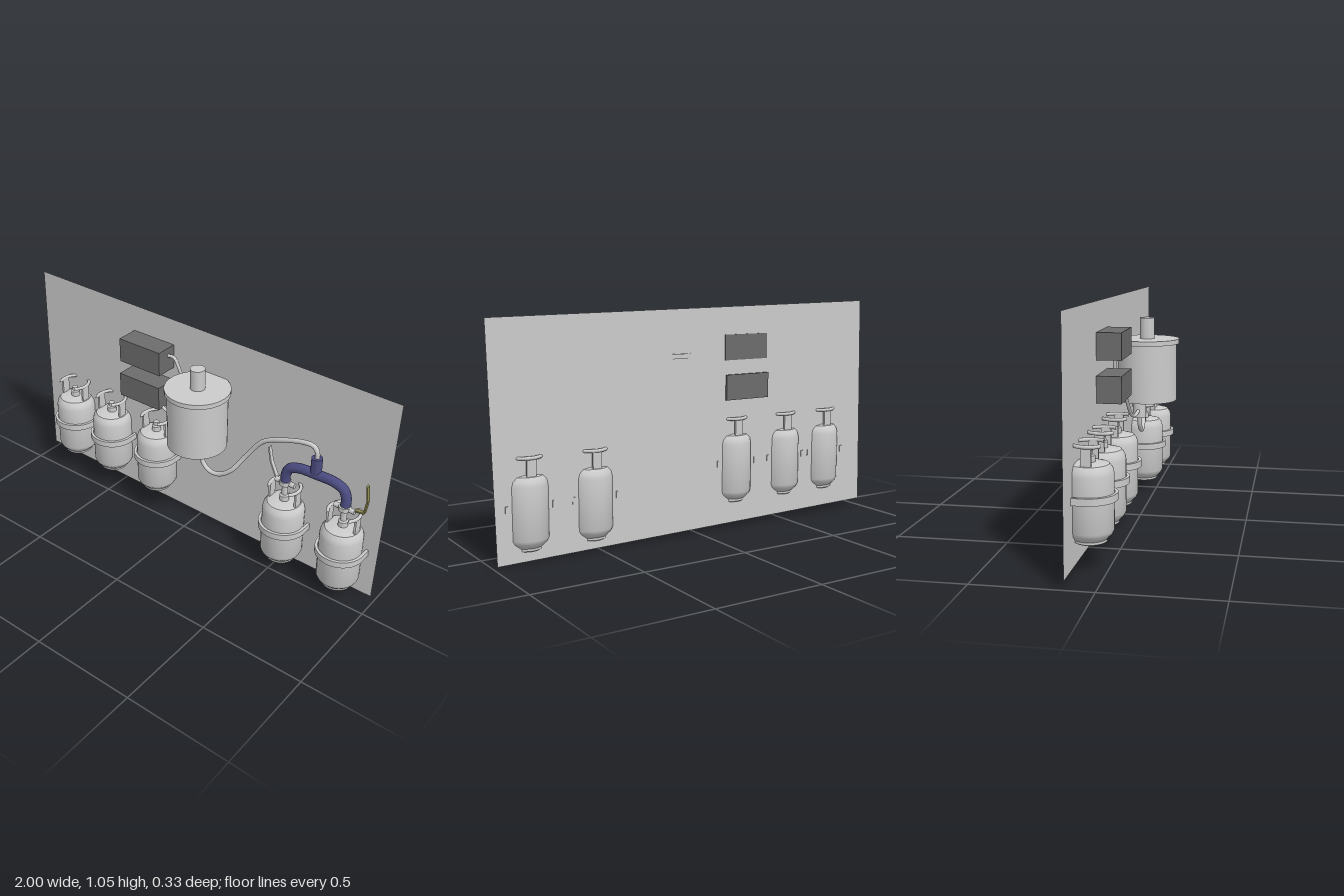
import * as THREE from 'three';
import { toCreasedNormals } from 'three/addons/utils/BufferGeometryUtils.js';

const mat = (color = 0xcccccc, side = THREE.FrontSide) => new THREE.MeshStandardMaterial({ color, side });
const grey = mat();
const sheet = mat(0xcccccc, THREE.DoubleSide);
const dark = mat(0x6c6c6c);
const blue = mat(0x4b4b80);
const olive = mat(0x8c8a50);
const PANEL_Z = -0.122;
const TANK_Z = -0.07;

function add(parent, name, geometry, material, x = 0, y = 0, z = 0) {
  const mesh = new THREE.Mesh(geometry, material);
  mesh.name = name;
  mesh.position.set(x, y, z);
  parent.add(mesh);
  return mesh;
}

const v2 = (pts) => pts.map(([x, y]) => new THREE.Vector2(x, y));
const lathe = (pts) => toCreasedNormals(new THREE.LatheGeometry(v2(pts), 40), 0.5);
const box = (w, h, d) => new THREE.BoxGeometry(w, h, d);

// Round pipe through a few points, with closed ends
function pipe(parent, name, pts, r, material = grey) {
  const curve = new THREE.CatmullRomCurve3(pts.map((p) => new THREE.Vector3(...p)), false, 'centripetal');
  const group = new THREE.Group();
  group.name = name;
  parent.add(group);
  add(group, name + 'Tube', new THREE.TubeGeometry(curve, 64, r, 14), material);
  for (const t of [0, 1]) {
    const cap = add(group, name + 'Cap', new THREE.CircleGeometry(r, 14), material);
    cap.position.copy(curve.getPoint(t));
    cap.quaternion.setFromUnitVectors(new THREE.Vector3(0, 0, 1), curve.getTangent(t).multiplyScalar(t ? 1 : -1));
  }
}

// Gas cylinder with foot, collar, valve stub and wall strap
function gasCylinder(x, y) {
  const g = new THREE.Group();
  g.name = 'gasCylinder';
  g.position.set(x, y, TANK_Z);

  add(g, 'cylinderBody', lathe([
    [0, 0.015], [0.07, 0.015], [0.076, 0.022], [0.09, 0.036], [0.097, 0.052],
    [0.097, 0.278], [0.092, 0.3], [0.078, 0.318], [0.055, 0.324], [0, 0.326],
  ]), grey);
  add(g, 'footRing', lathe([[0, 0], [0.062, 0], [0.068, 0.004], [0.068, 0.02], [0, 0.02]]), grey);
  add(g, 'valveStub', lathe([[0.022, 0.32], [0.022, 0.35], [0.014, 0.355], [0.014, 0.372], [0, 0.372]]), grey);

  // collar posts at both sides and at the back
  for (const a of [0, Math.PI / 2, Math.PI]) {
    const post = add(g, 'collarPost', box(0.01, 0.092, 0.042), grey, 0.068 * Math.cos(a), 0.352, -0.068 * Math.sin(a));
    post.rotation.y = a;
  }
  // collar ring, open at the front
  const open = 0.75;
  const ring = add(g, 'collarRing', new THREE.TorusGeometry(0.071, 0.008, 10, 40, Math.PI * 2 - open * 2), grey, 0, 0.397, 0);
  ring.rotation.set(Math.PI / 2, 0, Math.PI / 2 + open);

  // U-shaped strap running back to the panel
  const back = PANEL_Z - TANK_Z - 0.004;
  const strap = new THREE.Shape();
  strap.moveTo(0.112, -back);
  strap.lineTo(0.112, 0);
  strap.absarc(0, 0, 0.112, 0, -Math.PI, true);
  strap.lineTo(-0.112, -back);
  strap.lineTo(-0.099, -back);
  strap.lineTo(-0.099, 0);
  strap.absarc(0, 0, 0.099, -Math.PI, 0, false);
  strap.lineTo(0.099, -back);
  strap.closePath();
  const strapGeo = new THREE.ExtrudeGeometry(strap, { depth: 0.03, bevelEnabled: false, curveSegments: 32 });
  strapGeo.rotateX(-Math.PI / 2);
  // the shape's y becomes -z, so the arc bulges to the front
  add(g, 'wallStrap', toCreasedNormals(strapGeo, 0.5), grey, 0, 0.174, 0);
  return g;
}

export function createModel() {
  const model = new THREE.Group();
  model.name = 'gasSupplyPanel';

  // Slightly skewed back panel
  const panel = new THREE.Shape(v2([[-1, 0.035], [0.975, 0], [1, 1.018], [-0.98, 1.05]]));
  add(model, 'backPanel', new THREE.ShapeGeometry(panel), sheet, 0, 0, PANEL_Z);

  // Gas cylinders
  for (const [x, y] of [[-0.765, 0.12], [-0.515, 0.12], [-0.225, 0.12], [0.52, 0.045], [0.823, 0.045]]) {
    model.add(gasCylinder(x, y));
  }

  // Control boxes
  add(model, 'upperControlBox', box(0.238, 0.118, 0.112), dark, -0.274, 0.85, -0.07);
  add(model, 'lowerControlBox', box(0.238, 0.118, 0.12), dark, -0.279, 0.665, -0.073);

  // Reaction vessel
  const vessel = new THREE.Group();
  vessel.name = 'vessel';
  vessel.position.set(0.09, 0, 0.017);
  model.add(vessel);
  add(vessel, 'vesselBody', lathe([[0, 0.543], [0.138, 0.543], [0.138, 0.815], [0, 0.815]]), grey);
  add(vessel, 'vesselLid', lathe([[0, 0.811], [0.15, 0.811], [0.15, 0.833], [0, 0.833]]), grey);
  add(vessel, 'topPort', lathe([[0, 0.83], [0.034, 0.83], [0.034, 0.93], [0, 0.93]]), grey);
  add(vessel, 'bottomPort', lathe([[0, 0.456], [0.031, 0.456], [0.031, 0.55], [0, 0.55]]), grey, 0.002, 0, -0.037);

  // Lines from the boxes to the vessel
  pipe(model, 'upperLine', [
    [-0.16, 0.87, -0.08], [-0.125, 0.868, -0.085], [-0.1, 0.82, -0.09],
    [-0.085, 0.74, -0.105], [-0.068, 0.68, -0.1], [-0.03, 0.62, -0.06],
  ], 0.008);
  pipe(model, 'lowerLine', [
    [-0.165, 0.61, -0.045], [-0.13, 0.59, -0.045], [-0.085, 0.535, -0.04],
    [-0.035, 0.49, -0.035], [0.01, 0.478, -0.028], [0.08, 0.495, -0.02],
  ], 0.008);

  // Line from the vessel to the manifold
  pipe(model, 'feedLine', [
    [0.085, 0.47, -0.02], [0.1, 0.415, -0.02], [0.135, 0.386, -0.02], [0.185, 0.386, -0.022],
    [0.25, 0.43, -0.03], [0.31, 0.52, -0.06], [0.39, 0.625, -0.07], [0.49, 0.675, -0.07],
    [0.6, 0.706, -0.073], [0.645, 0.704, -0.075], [0.664, 0.68, -0.076], [0.665, 0.64, -0.077],
  ], 0.011);

  // Two-armed manifold
  pipe(model, 'manifoldArms', [
    [0.52, 0.465, -0.07], [0.52, 0.505, -0.07], [0.538, 0.545, -0.071], [0.585, 0.564, -0.073],
    [0.67, 0.566, -0.077], [0.757, 0.564, -0.079], [0.805, 0.545, -0.079], [0.823, 0.505, -0.077], [0.823, 0.465, -0.073],
  ], 0.023, blue);
  add(model, 'manifoldInlet', lathe([[0, 0.565], [0.025, 0.565], [0.025, 0.652], [0, 0.652]]), blue, 0.665, 0, -0.077);

  // Shut-off valves with levers; the side sign points outwards
  for (const [x, side, leverMat] of [[0.52, -1, grey], [0.823, 1, olive]]) {
    const valve = new THREE.Group();
    valve.name = 'shutOffValve';
    valve.position.set(x, 0.462, TANK_Z);
    model.add(valve);
    add(valve, 'valveStem', lathe([[0, -0.06], [0.014, -0.06], [0.014, 0.01], [0, 0.01]]), grey);
    add(valve, 'valveCollar', lathe([[0, -0.008], [0.028, -0.008], [0.028, 0.012], [0, 0.012]]), grey);
    const body = add(valve, 'valveBody', new THREE.CylinderGeometry(0.012, 0.012, 0.1, 16), grey);
    body.rotation.z = Math.PI / 2;

    // flat bent lever
    const path = side < 0
      ? [[0.035, 0], [0.052, 0.004], [0.084, 0.075], [0.098, 0.146]]
      : [[0.045, 0.002], [0.09, 0.01], [0.1, 0.08], [0.09, 0.15]];
    const outline = [...path.map(([a, b]) => [a - 0.003, b + 0.003]), ...path.map(([a, b]) => [a + 0.003, b - 0.003]).reverse()];
    const lever = new THREE.ExtrudeGeometry(new THREE.Shape(v2(outline.map(([a, b]) => [a * side, b]))), { depth: 0.02, bevelEnabled: false });
    add(valve, 'valveLever', lever, leverMat, 0, 0, -0.02);
  }
  return model;
}
